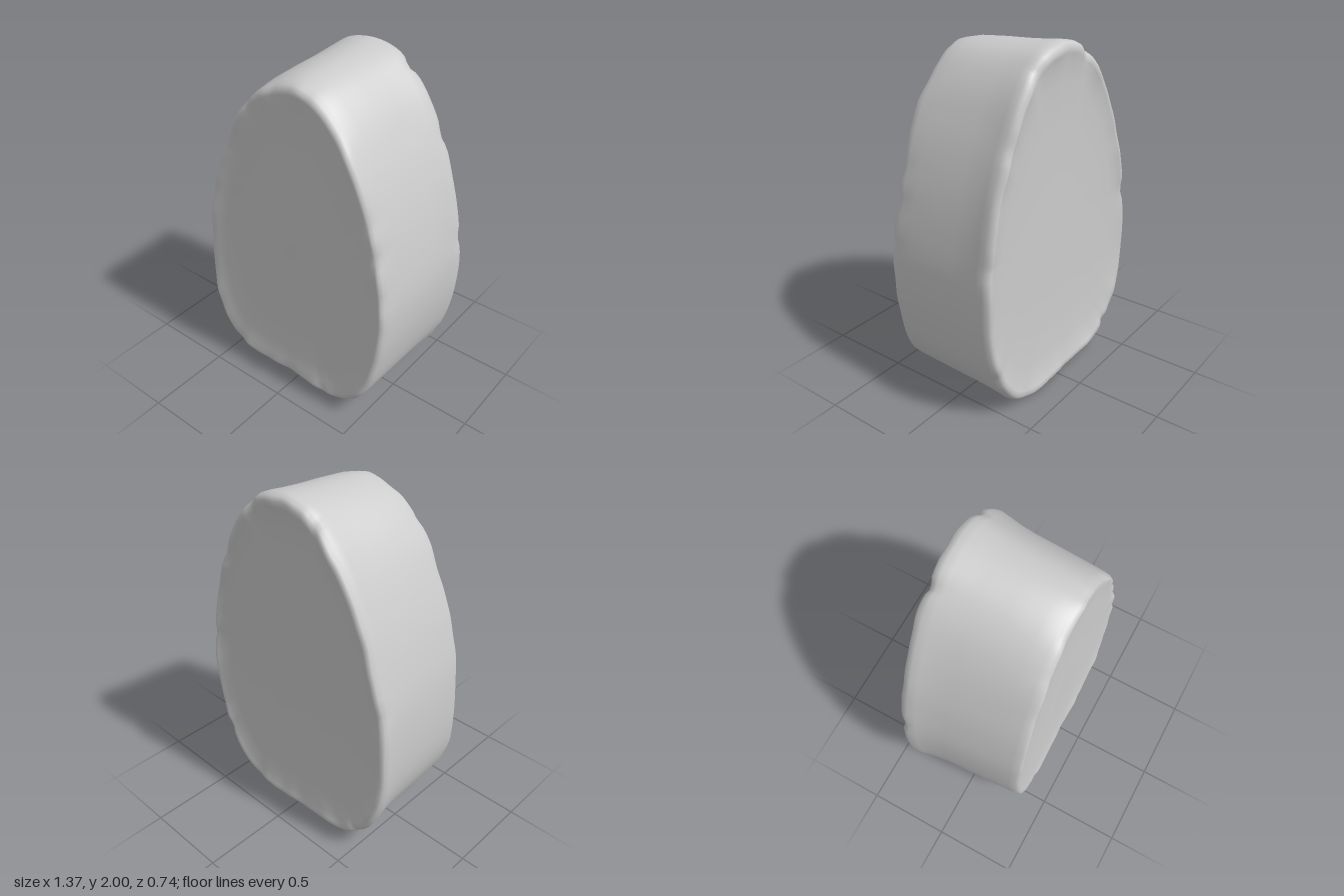
import * as THREE from 'three';

// Matching clockwise outlines, starting at the peak
const FRONT = [
  [0.05, 1.95], [0.17, 1.91], [0.3, 1.79], [0.42, 1.6], [0.52, 1.36], [0.59, 1.1],
  [0.632, 0.8], [0.61, 0.5], [0.54, 0.25], [0.42, 0.1], [0.3, 0.055], [0.18, 0.06],
  [0, 0.07], [-0.2, 0.07], [-0.35, 0.085], [-0.47, 0.14], [-0.56, 0.28], [-0.615, 0.5],
  [-0.61, 0.92], [-0.55, 1.22], [-0.47, 1.45], [-0.36, 1.68], [-0.23, 1.84], [-0.1, 1.92],
];
const BACK = [
  [0.04, 2.0], [0.2, 1.96], [0.35, 1.82], [0.48, 1.6], [0.58, 1.34], [0.65, 1.05],
  [0.677, 0.8], [0.65, 0.5], [0.58, 0.27], [0.45, 0.09], [0.3, 0.02], [0.18, 0.005],
  [0, 0.015], [-0.2, 0.025], [-0.4, 0.05], [-0.52, 0.13], [-0.62, 0.28], [-0.68, 0.5],
  [-0.675, 0.92], [-0.605, 1.22], [-0.52, 1.46], [-0.4, 1.69], [-0.27, 1.86], [-0.12, 1.97],
];

// Cross-sections from front centre to back centre: [z, scale, blend to back outline, rim wobble]
const RINGS = [
  [0.337, 0, 0, 0], [0.337, 0.3, 0, 0], [0.338, 0.6, 0, 0], [0.343, 0.8, 0, 0],
  [0.35, 0.9, 0, 0.2], [0.358, 0.95, 0, 0.7], [0.355, 0.976, 0, 1], [0.338, 0.995, 0, 0.8],
  [0.3, 1, 0.05, 0.3], [0.2, 1, 0.15, 0], [0.05, 1, 0.3, 0], [-0.1, 1, 0.42, 0],
  [-0.2, 1, 0.58, 0], [-0.27, 1, 0.83, 0.2], [-0.315, 1, 1, 0.6], [-0.345, 0.99, 1, 1],
  [-0.36, 0.968, 1, 1], [-0.356, 0.94, 1, 0.8], [-0.345, 0.9, 1, 0.3],
  [-0.334, 0.8, 1, 0], [-0.327, 0.6, 1, 0], [-0.325, 0.3, 1, 0], [-0.325, 0, 1, 0],
];
const SEGMENTS = 144;
const CENTRE = new THREE.Vector3(0, 0.95, 0);

// Small chips in the rims: [position round the outline, depth]
const FRONT_CHIPS = [[0.17, 0.025], [0.2, 0.03], [0.235, 0.025], [0.9, 0.015]];
const BACK_CHIPS = [[0.06, 0.025], [0.13, 0.02], [0.22, 0.02], [0.33, 0.02],
  [0.62, 0.02], [0.76, 0.025], [0.94, 0.03]];

const outline = (points) => new THREE.CatmullRomCurve3(
  points.map(([x, y]) => new THREE.Vector3(x, y, 0)), true);

// Periodic irregularity of the rims
const wobble = (a, phase) => 0.5 * Math.sin(9 * a + phase)
  + 0.3 * Math.sin(17 * a + 2.1 * phase) + 0.2 * Math.sin(29 * a + 0.7 * phase);

const chipDepth = (chips, t) => chips.reduce(
  (sum, [at, depth]) => sum + depth * Math.exp(-(((t - at) / 0.008) ** 2)), 0);

function stoneGeometry() {
  const front = outline(FRONT), back = outline(BACK);
  const positions = [], indices = [];
  RINGS.forEach(([z, scale, blend, rough], i) => {
    const isFront = z > 0;
    for (let j = 0; j < SEGMENTS; j++) {
      const t = j / SEGMENTS, a = t * Math.PI * 2;
      const crown = THREE.MathUtils.smoothstep(front.getPoint(t).y, 1.6, 1.95);
      // The crown flares towards the back earlier than the flanks
      const flare = blend + crown * blend * (1 - blend) * 0.9;
      const p = front.getPoint(t).lerp(back.getPoint(t), flare);
      const w = rough * wobble(a, isFront ? 1 : 4);
      const chip = rough * chipDepth(isFront ? FRONT_CHIPS : BACK_CHIPS, t);
      p.sub(CENTRE).multiplyScalar(scale * (1 + 0.004 * w - 0.6 * chip)).add(CENTRE);
      // The front rim is rounded over at the crown
      const reach = THREE.MathUtils.smoothstep(z, 0.2, 0.35);
      const edge = crown * reach * scale ** 6;
      p.y -= 0.012 * edge;
      // The front face leans back slightly and turns a little to one side
      const lean = reach * (0.018 * (p.y - 0.8) + 0.012 * p.x);
      const depth = z - lean - 0.008 * edge + 0.007 * w - Math.sign(z) * 0.5 * chip;
      positions.push(p.x, p.y, depth);
      // Bridge to the next ring
      if (i < RINGS.length - 1) {
        const k = (j + 1) % SEGMENTS, r = i * SEGMENTS, n = r + SEGMENTS;
        if (scale > 0) indices.push(r + j, r + k, n + j);
        if (RINGS[i + 1][1] > 0) indices.push(r + k, n + k, n + j);
      }
    }
  });
  const geometry = new THREE.BufferGeometry();
  geometry.setAttribute('position', new THREE.Float32BufferAttribute(positions, 3));
  geometry.setIndex(indices);
  geometry.computeVertexNormals();
  // Flat centres share one clean normal
  const normals = geometry.attributes.normal;
  for (let j = 0; j < SEGMENTS; j++) {
    normals.setXYZ(j, 0, 0, 1);
    normals.setXYZ((RINGS.length - 1) * SEGMENTS + j, 0, 0, -1);
  }
  return geometry;
}

export function createModel() {
  const group = new THREE.Group();
  group.name = 'stone';
  const body = new THREE.Mesh(stoneGeometry(), new THREE.MeshStandardMaterial({ color: 0xcccccc }));
  body.name = 'stoneBody';
  group.add(body);
  return group;
}
